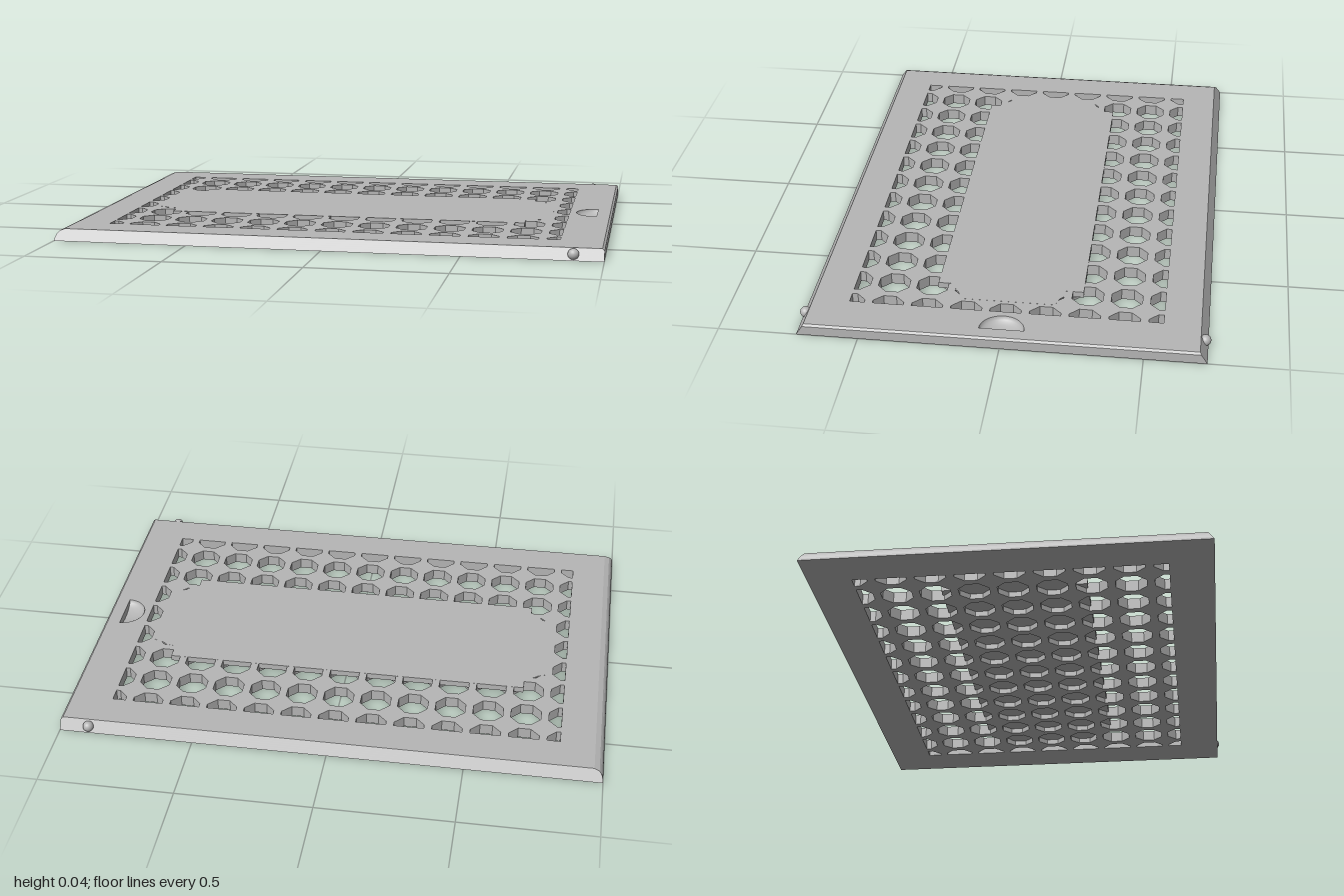
import * as THREE from 'three';

const HX = 1, HZ = 0.72, H = 0.042;      // slab half sizes and height
const PITCH = 0.141, R = 0.056;          // grille spacing and half width of a hole
const GX = 0.838, GZ = 0.561;            // grille window half sizes
const NOTCH_X = 0.943, NOTCH_R = 0.08;   // finger notch

const clamp = THREE.MathUtils.clamp;

// Octagon outline, cut off at the grille window
function octagon(cx, cz) {
  const r = R / Math.cos(Math.PI / 8), pts = [];
  for (let i = 0; i < 8; i++) {
    const a = (i + 0.5) * Math.PI / 4;
    const p = new THREE.Vector2(
      clamp(cx + r * Math.cos(a), -GX, GX), clamp(cz + r * Math.sin(a), -GZ, GZ));
    if (!pts.some(q => q.distanceTo(p) < 1e-4)) pts.push(p);
  }
  return pts;
}

// Half disc with its flat side towards +x
function halfDisc(path) {
  path.absarc(NOTCH_X, 0, NOTCH_R, Math.PI / 2, Math.PI * 1.5, false);
  path.closePath();
  return path;
}

// Extrude a plan shape upwards from y0
function slab(shape, y0, depth, steps = 1) {
  const g = new THREE.ExtrudeGeometry(shape, { depth, steps, bevelEnabled: false, curveSegments: 20 });
  g.rotateX(-Math.PI / 2);
  g.translate(0, y0, 0);
  return g;
}

export function createModel() {
  const model = new THREE.Group();
  const grey = new THREE.MeshStandardMaterial({ color: 0xb6b6b6, side: THREE.DoubleSide });
  grey.name = 'light grey';
  const add = (geometry, name) => {
    const mesh = new THREE.Mesh(geometry, grey);
    mesh.name = name;
    model.add(mesh);
    return mesh;
  };

  // Cover slab with the octagonal grille and the notch opening
  const outline = new THREE.Shape([
    new THREE.Vector2(-HX, -HZ), new THREE.Vector2(HX, -HZ),
    new THREE.Vector2(HX, HZ), new THREE.Vector2(-HX, HZ)]);
  for (let i = -6; i <= 6; i++)
    for (let j = -4; j <= 4; j++)
      outline.holes.push(new THREE.Path(octagon(i * PITCH, j * PITCH)));
  outline.holes.push(halfDisc(new THREE.Path()));
  const cover = slab(outline, 0, H, 6);

  // Chamfer the long sides, round the -x end, soften the +x end
  const pos = cover.attributes.position;
  for (let i = 0; i < pos.count; i++) {
    const x = pos.getX(i), z = pos.getZ(i), t = clamp(pos.getY(i) / H, 0, 1);
    if (Math.abs(z) > HZ - 0.001) pos.setZ(i, Math.sign(z) * (HZ - 0.027 * t));
    if (x < -HX + 0.001) pos.setX(i, -HX + 0.034 * (1 - Math.sqrt(1 - t * t)));
    if (x > HX - 0.001) pos.setX(i, HX - 0.008 * Math.max(0, t * 6 - 5));
  }
  cover.computeVertexNormals();
  add(cover, 'grilleCover');

  // Solid centre panel closing the upper half of the middle holes
  const corner = [[0.685, 0.265], [0.685, 0.2], [0.722, 0.196], [0.732, 0.186], [0.747, 0.179], [0.775, 0.17]];
  const back = [...corner].reverse();
  const panel = new THREE.Shape([
    ...corner.map(([x, z]) => new THREE.Vector2(x, z)),
    ...back.map(([x, z]) => new THREE.Vector2(x, -z)),
    ...corner.map(([x, z]) => new THREE.Vector2(-x, -z)),
    ...back.map(([x, z]) => new THREE.Vector2(-x, z))]);
  add(slab(panel, 0.02, H - 0.02 + 0.0004), 'centrePanel');

  // Finger notch: hollow scoop and the floor under it
  const profile = [];
  for (let i = 0; i <= 8; i++) {
    const a = i / 8 * Math.PI / 2;
    profile.push(new THREE.Vector2(NOTCH_R * Math.sin(a), -0.033 * Math.cos(a)));
  }
  const scoop = new THREE.LatheGeometry(profile, 20, Math.PI, Math.PI);
  add(scoop, 'notchScoop').position.set(NOTCH_X, H, 0);
  add(slab(halfDisc(new THREE.Shape()), 0, 0.005), 'notchFloor');

  // Round catches on both long sides
  for (const s of [1, -1])
    add(new THREE.SphereGeometry(0.02, 24, 16), s > 0 ? 'frontCatch' : 'backCatch')
      .position.set(0.893, 0.022, s * 0.709);

  return model;
}
